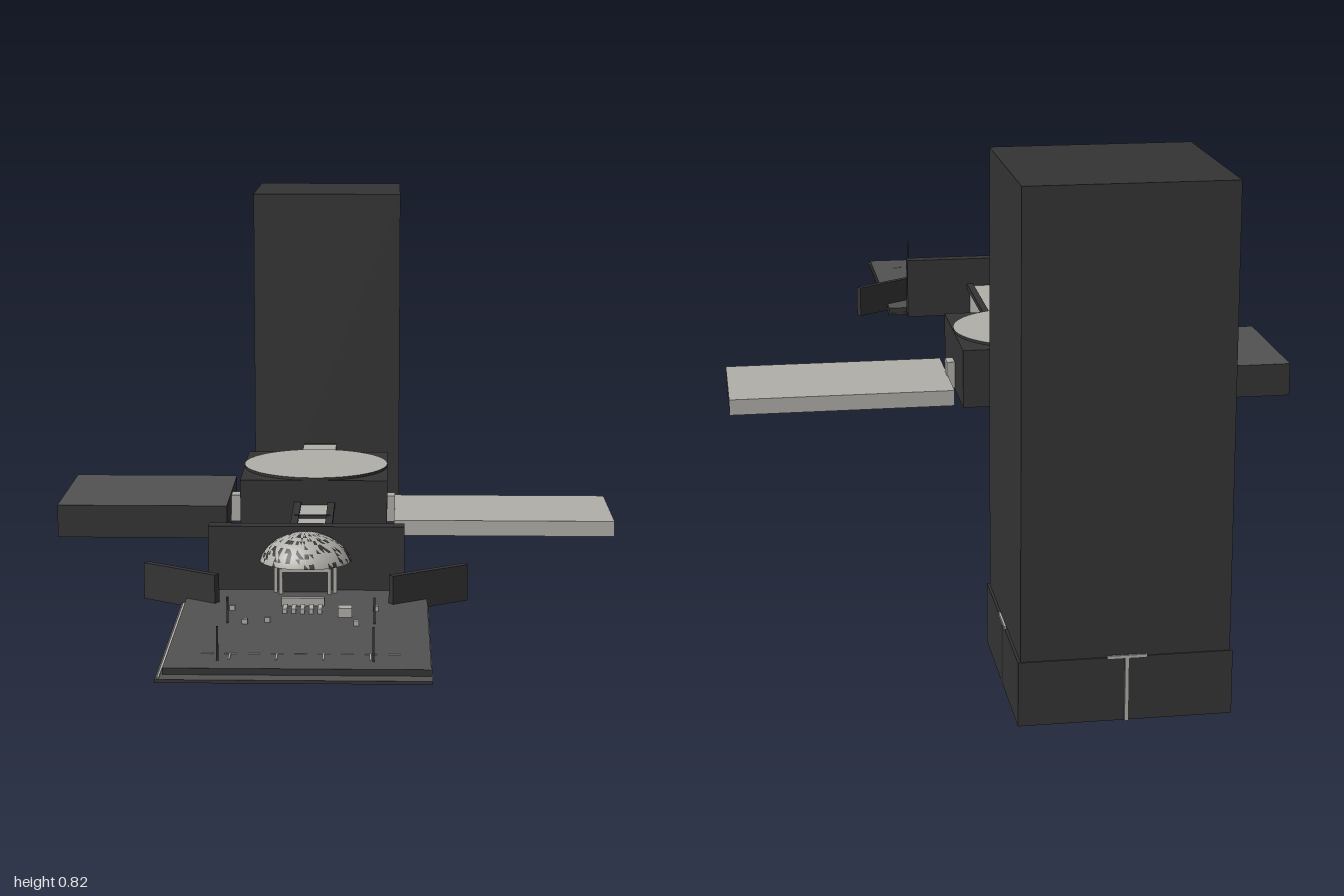
import * as THREE from 'three';

const mat = (name, color) => {
  const m = new THREE.MeshStandardMaterial({ color });
  m.name = name;
  return m;
};

export function createModel() {
  const root = new THREE.Group();
  root.name = 'baseComplex';
  const dark = mat('charcoal', 0x343434);
  const grey = mat('roofGrey', 0x525252);
  const light = mat('paleConcrete', 0xb0aea8);
  const cx = -0.0425; // centre line of the complex

  // Box from its limits; material may be one or six (+x, -x, +y, -y, +z, -z)
  const box = (name, x0, x1, y0, y1, z0, z1, m, parent = root) => {
    const mesh = new THREE.Mesh(new THREE.BoxGeometry(x1 - x0, y1 - y0, z1 - z0), m);
    mesh.position.set((x0 + x1) / 2, (y0 + y1) / 2, (z0 + z1) / 2);
    mesh.name = name;
    parent.add(mesh);
    return mesh;
  };

  // Tower with a slightly wider foot
  box('tower', -0.2, 0.117, 0.004, 0.82, -0.998, -0.682, dark);
  box('towerFoot', -0.204, 0.121, 0.004, 0.105, -1, -0.679, dark);
  // Thin door outline on each tower side
  for (let i = 0; i < 4; i++) {
    const door = new THREE.Group();
    door.name = 'towerDoorLines';
    box('doorPost', -0.003, 0.003, 0, 0.105, 0.161, 0.1645, light, door);
    box('doorLintel', -0.03, 0.03, 0.1, 0.105, 0.161, 0.1645, light, door);
    door.position.set(cx, 0.004, -0.84);
    door.rotation.y = (i * Math.PI) / 2;
    if (i !== 0) root.add(door);
  }

  // Low corridor and vertical shaft between tower and hub
  box('lowCorridor', -0.075, -0.01, 0, 0.055, -0.682, -0.233, [light, light, light, dark, light, light]);
  box('shaft', -0.075, -0.01, 0, 0.357, -0.235, -0.172, [dark, dark, light, dark, light, light]);
  box('shaftFrontStrip', -0.076, -0.009, 0, 0.25, -0.18, -0.171, light);
  box('roofSeam', -0.075, -0.01, 0.357, 0.358, -0.24, -0.236, dark);

  // Hub with round roof and floor discs
  box('hub', -0.18, 0.092, 0.247, 0.355, -0.172, 0.1, dark);
  const disc = (name, y, m) => {
    const mesh = new THREE.Mesh(new THREE.CylinderGeometry(0.136, 0.136, 0.006, 48), m);
    mesh.position.set(-0.044, y, -0.036);
    mesh.name = name;
    root.add(mesh);
  };
  disc('hubRoof', 0.357, [dark, light, dark]);
  disc('hubFloor', 0.247, [dark, grey, grey]);

  // Side halls and their short links
  box('greyHall', -0.52, -0.205, 0.245, 0.306, -0.175, 0.1, [dark, dark, grey, dark, dark, dark]);
  box('paleHall', 0.105, 0.515, 0.245, 0.274, -0.15, 0.072, [dark, light, light, dark, light, light]);
  box('greyHallLink', -0.206, -0.178, 0.25, 0.3, -0.052, -0.02, light);
  box('paleHallLink', 0.09, 0.107, 0.25, 0.3, -0.052, -0.02, light);

  // Front corridor with dark roof rails
  box('frontCorridor', -0.073, -0.012, 0.247, 0.305, 0.1, 0.51, [light, light, light, dark, light, light]);
  for (const s of [-1, 1]) {
    const x = cx + s * 0.031;
    box('corridorRail', x - 0.0065, x + 0.0065, 0.303, 0.314, 0.1, 0.51, dark);
  }
  box('corridorRoof', -0.067, -0.018, 0.303, 0.309, 0.1, 0.51, light);
  box('corridorSeam', -0.075, -0.01, 0.305, 0.315, 0.205, 0.212, dark);

  // Gate wall with angled wings
  box('gateWall', -0.204, 0.121, 0.246, 0.368, 0.502, 0.527, dark);
  for (const s of [-1, 1]) {
    const wing = box('gateWing', -0.074, 0.074, 0.246, 0.307, -0.006, 0.006, dark);
    wing.position.set(cx + s * 0.203, 0.2765, 0.57);
    wing.rotation.y = s * Math.atan2(0.08, 0.122);
  }

  // Nested door frames under the canopy
  [[0.049, 0.316, 0.545], [0.04, 0.303, 0.555]].forEach(([w, top, z]) => {
    for (const s of [-1, 1]) {
      const x = cx + s * w;
      box('doorFrameSide', x - 0.003, x + 0.003, 0.258, top, 0.525, z, light);
    }
    box('doorFrameTop', cx - w - 0.003, cx + w + 0.003, top - 0.006, top, 0.525, z, light);
  });
  box('doorLeaf', cx - 0.037, cx + 0.037, 0.258, 0.297, 0.525, 0.54, dark);

  // Speckled canopy: a quarter dome whose facets take one of two colours
  const dome = new THREE.SphereGeometry(1, 28, 10, 0, Math.PI, 0, Math.PI * 0.42).toNonIndexed();
  let seed = 7;
  const rand = () => (seed = (seed * 16807) % 2147483647) / 2147483647;
  const count = dome.attributes.position.count;
  for (let i = 0; i < count; i += 3) dome.addGroup(i, 3, rand() < 0.25 ? 1 : 0);
  const shade = [light, dark].map((m) => {
    const c = m.clone();
    c.side = THREE.DoubleSide;
    return c;
  });
  const canopy = new THREE.Mesh(dome, shade);
  canopy.scale.set(0.078, 0.065, 0.07);
  canopy.position.set(cx, 0.295, 0.527);
  canopy.name = 'canopy';
  root.add(canopy);

  // Landing apron on a thin base
  box('apronBase', -0.245, 0.16, 0.245, 0.25, 0.525, 1, [dark, dark, grey, dark, dark, dark]);
  box('apron', -0.236, 0.158, 0.25, 0.26, 0.527, 0.975, [dark, dark, grey, dark, dark, dark]);
  box('apronEdge', -0.242, -0.239, 0.25, 0.2515, 0.53, 0.995, light);

  // Dashed marking with short ticks
  for (let i = 0; i < 9; i++) {
    const x = -0.185 + i * 0.035;
    box('markingDash', x, x + 0.018, 0.26, 0.261, 0.897, 0.901, light);
    if (i % 2) box('markingTick', x + 0.007, x + 0.01, 0.26, 0.261, 0.901, 0.93, light);
  }

  // Console, crates and thin poles on the apron
  box('consoleTop', -0.078, -0.008, 0.262, 0.275, 0.625, 0.635, light);
  for (let i = 0; i < 5; i++) {
    const x = -0.074 + i * 0.014;
    box('consoleBar', x, x + 0.007, 0.26, 0.268, 0.645, 0.675, light);
  }
  box('crate', 0.015, 0.037, 0.26, 0.275, 0.675, 0.695, light);
  [[-0.16, 0.65], [-0.135, 0.73], [-0.1, 0.72], [0.04, 0.735], [0.07, 0.65]].forEach(([x, z]) =>
    box('smallCrate', x, x + 0.009, 0.26, 0.268, z, z + 0.008, light));
  [[-0.158, 0.935, 0.312], [0.073, 0.935, 0.312], [-0.158, 0.73, 0.302], [0.073, 0.73, 0.302]].forEach(([x, z, top]) =>
    box('pole', x - 0.0015, x + 0.0015, 0.26, top, z - 0.0015, z + 0.0015, dark));

  return root;
}
